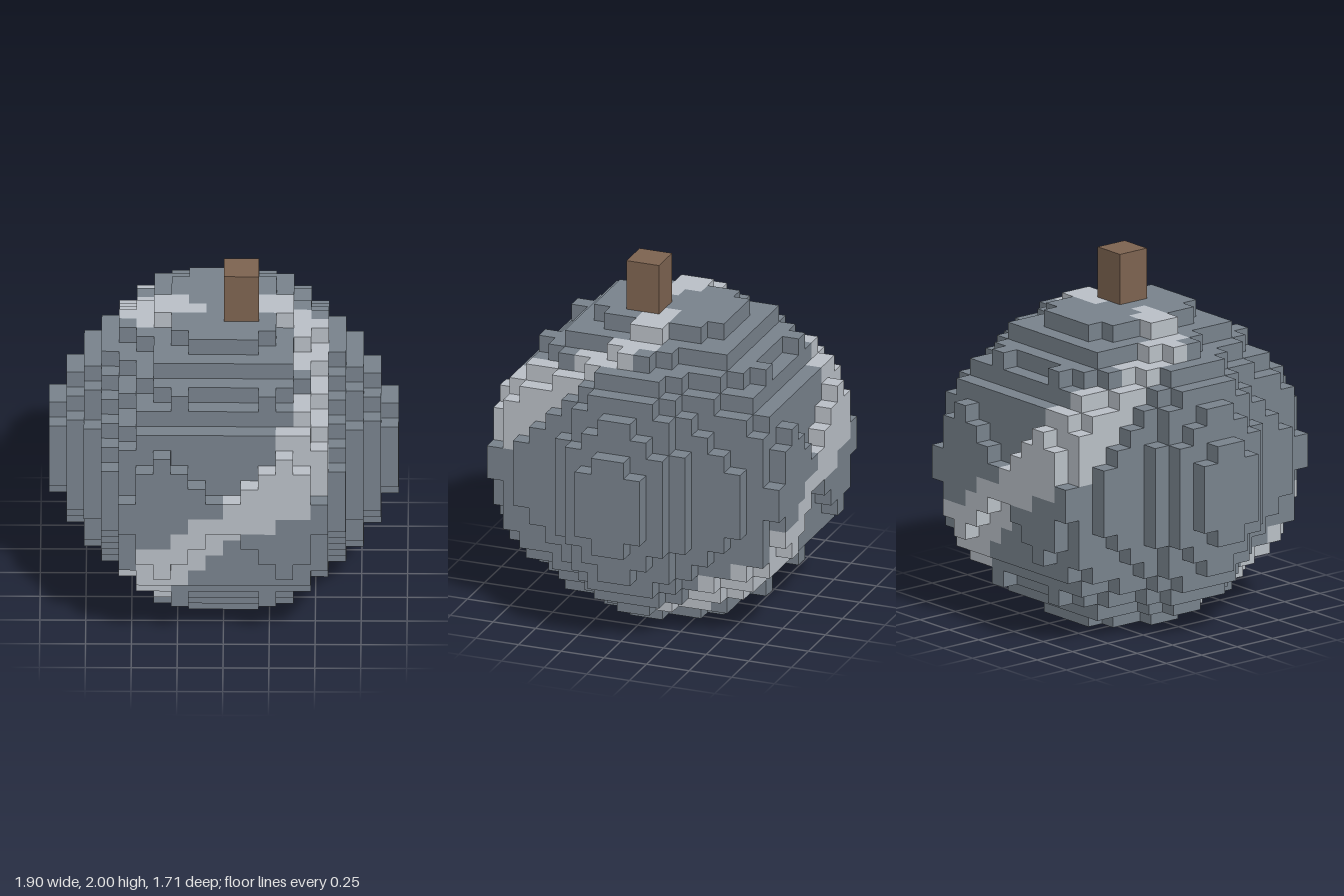
import * as THREE from 'three';
import { mergeGeometries } from 'three/addons/utils/BufferGeometryUtils.js';

const U = 2 / 21;           // voxel size
const MID = 9;              // height of the body's centre, in voxels
const DEG = 180 / Math.PI;

// Body: an ellipsoid with six upright ribs, in voxel units from its centre
function inside(x, y, z) {
  const r = 9.38 + 0.85 * Math.cos(6 * Math.atan2(z, x));
  return Math.abs(y) < 9 && (x * x + z * z) / (r * r) + (y * y) / 86.7 < 1;
}

// Spiral stripe: heading (degrees from the front) at each latitude
const SPIRAL = [[-90, -95], [-66, -70], [-42, -42], [-14.5, -14], [-3, 3.5],
  [8, 22], [30, 40], [47, 64], [59, 84], [90, 112]];

function heading(lat) {
  let k = 0;
  while (k < SPIRAL.length - 2 && lat > SPIRAL[k + 1][0]) k++;
  const [a, b] = [SPIRAL[k], SPIRAL[k + 1]];
  return THREE.MathUtils.mapLinear(lat, a[0], b[0], a[1], b[1]);
}

// The stripe repeats every half turn, so it has two arms
function onStripe(x, y, z) {
  const lat = Math.atan2(y, Math.hypot(x, z)) * DEG;
  const off = Math.atan2(x, z) * DEG - heading(lat);
  const gap = Math.abs(THREE.MathUtils.euclideanModulo(off + 90, 180) - 90);
  const half = lat > 50 ? 15 + (lat - 50) * 0.2 : lat < -66 ? 9 : 15;
  return gap < half;
}

// One square face for each of the six directions
const FACES = [[1, 0, 0], [-1, 0, 0], [0, 1, 0], [0, -1, 0], [0, 0, 1], [0, 0, -1]].map((d) => {
  const n = new THREE.Vector3(...d);
  const q = new THREE.Quaternion().setFromUnitVectors(new THREE.Vector3(0, 0, 1), n);
  const geo = new THREE.PlaneGeometry(U, U).applyQuaternion(q);
  return { n, geo: geo.translate(n.x * U / 2, n.y * U / 2, n.z * U / 2) };
});

export function createModel() {
  const group = new THREE.Group();
  const material = (name, color) => {
    const m = new THREE.MeshStandardMaterial({ color });
    m.name = name;
    return m;
  };
  const add = (name, geo, mat) => {
    const mesh = new THREE.Mesh(geo, mat);
    mesh.name = name;
    group.add(mesh);
    return mesh;
  };

  // Exposed voxel faces, sorted into body and stripe
  const body = [], stripe = [];
  for (let x = -9.5; x < 10; x++)
    for (let y = -8.5; y < 9; y++)
      for (let z = -9.5; z < 10; z++) {
        if (!inside(x, y, z)) continue;
        const list = onStripe(x, y, z) ? stripe : body;
        for (const { n, geo } of FACES)
          if (!inside(x + n.x, y + n.y, z + n.z))
            list.push(geo.clone().translate(x * U, (y + MID) * U, z * U));
      }
  add('ribbedBody', mergeGeometries(body), material('slate grey', 0x78828c));
  add('spiralStripe', mergeGeometries(stripe), material('pale grey', 0xb9bfc6));

  // Stem
  const stem = add('stem', new THREE.BoxGeometry(2 * U, 3 * U, 2 * U), material('brown', 0x7d6350));
  stem.position.set(U, 19.5 * U, U);
  return group;
}
